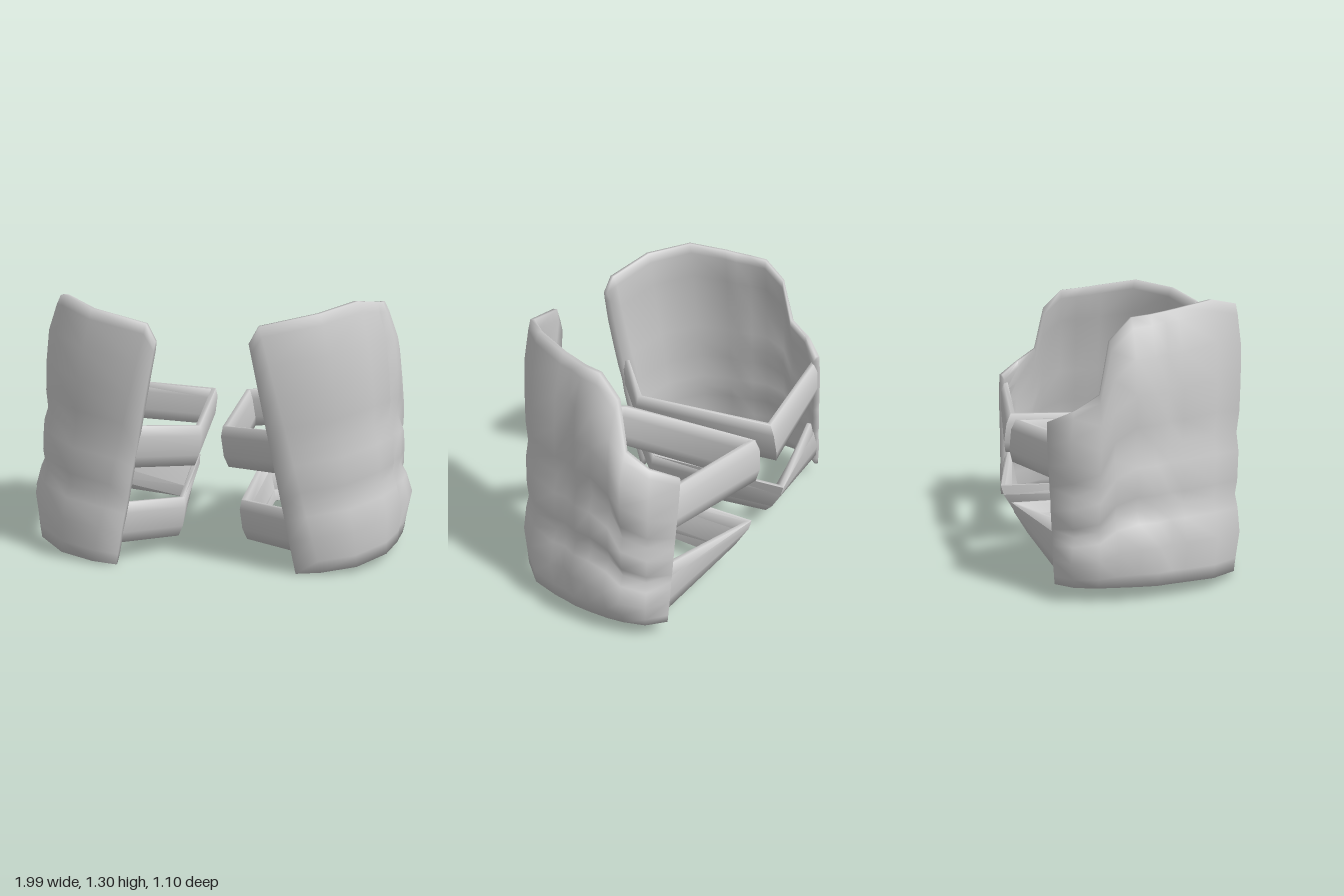
import * as THREE from 'three';
import { toCreasedNormals } from 'three/addons/utils/BufferGeometryUtils.js';

// Horizontal mitred outward direction of a path at point i
function outward(path, i) {
  const normal = (a, b) => new THREE.Vector3(a.z - b.z, 0, b.x - a.x).normalize();
  const before = i > 0 ? normal(path[i - 1], path[i]) : null;
  const after = i < path.length - 1 ? normal(path[i], path[i + 1]) : null;
  const sum = (before || after).clone().add(after || before).normalize();
  return sum.divideScalar(Math.max(0.6, sum.dot(before || after)));
}

// Joins closed cross-sections into a solid with capped ends; side = -1 mirrors it
function loft(rings, side, crease) {
  const n = rings[0].length, last = (rings.length - 1) * n, index = [];
  const quad = (a, b, c, d) => side > 0
    ? index.push(a, b, c, a, c, d) : index.push(a, c, b, a, d, c);
  for (let i = 0; i < rings.length - 1; i++)
    for (let j = 0; j < n; j++) {
      const k = (j + 1) % n;
      quad(i * n + j, (i + 1) * n + j, (i + 1) * n + k, i * n + k);
    }
  for (let j = 0; j < n / 2 - 1; j++) {
    quad(j, j + 1, n - 2 - j, n - 1 - j);
    quad(last + n - 1 - j, last + n - 2 - j, last + j + 1, last + j);
  }
  const g = new THREE.BufferGeometry();
  const pos = rings.flat().flatMap(p => [p.x * side, p.y, p.z]);
  g.setAttribute('position', new THREE.Float32BufferAttribute(pos, 3));
  g.setIndex(index);
  return toCreasedNormals(g, crease);
}

// Guard columns from front edge round to back edge:
// top x, y, z, bottom x, y, z, bulge weight
const COLUMNS = [
  [0.215, 1.13, 0.55, 0.44, 0.0, 0.475, 0.25],
  [0.26, 1.21, 0.535, 0.56, 0.012, 0.475, 0.4],
  [0.53, 1.265, 0.475, 0.73, 0.03, 0.42, 0.5],
  [0.70, 1.30, 0.305, 0.87, 0.05, 0.275, 0.6],
  [0.775, 1.27, 0.12, 0.925, 0.06, 0.12, 0.75],
  [0.79, 1.26, 0.06, 0.935, 0.06, 0.06, 0.3],
  [0.81, 1.25, -0.01, 0.95, 0.06, -0.01, 0.9],
  [0.82, 1.24, -0.10, 0.96, 0.065, -0.10, 1],
  [0.835, 1.14, -0.20, 0.965, 0.07, -0.20, 1],
  [0.86, 0.91, -0.25, 0.955, 0.07, -0.28, 1],
  [0.84, 0.84, -0.36, 0.925, 0.07, -0.38, 0.9],
  [0.75, 0.78, -0.465, 0.85, 0.07, -0.455, 0.1],
];
// Height fraction and outward bulge of each row
const ROWS = [[0, 0], [0.05, 0.015], [0.15, 0.05], [0.24, 0.03], [0.29, 0.005], [0.34, 0.025],
  [0.45, 0.035], [0.52, 0.015], [0.6, 0.04], [0.72, 0.05], [0.85, 0.05], [0.96, 0.018], [1, 0]];

function guardGeometry(side) {
  const tops = COLUMNS.map(c => new THREE.Vector3(c[0], c[1], c[2]));
  const bottoms = COLUMNS.map(c => new THREE.Vector3(c[3], c[4], c[5]));
  const middles = tops.map((t, i) => t.clone().lerp(bottoms[i], 0.5));
  const rings = COLUMNS.map((c, i) => {
    const out = outward(middles, i);
    const at = (v, offset) => bottoms[i].clone().lerp(tops[i], v).addScaledVector(out, offset);
    const outer = ROWS.map(([v, b]) => at(v, b * c[6]));
    // the wall thins towards its top and bottom rims
    const inner = ROWS.map(([v, b]) =>
      at(v, b * c[6] * 0.4 - (v === 0 || v === 1 ? 0.02 : 0.035))).reverse();
    return [...outer, ...inner];
  });
  return loft(rings, side, 1.7);
}

// Strap paths from the back of the guard round to its front: x, y, z, lean in x, lean in z
const STRAPS = {
  upperStrap: [[0.78, 0.635, -0.44, -0.14, 0], [0.10, 0.575, -0.515, -0.14, 0.12],
    [0.07, 0.56, 0.25, -0.14, 0], [0.33, 0.61, 0.49, -0.14, 0]],
  lowerStrap: [[0.82, 0.235, -0.43, -0.14, 0.15], [0.21, 0.18, -0.485, -0.3, -0.6],
    [0.16, 0.175, 0.215, -0.14, 0], [0.42, 0.215, 0.465, -0.14, 0]],
};
// Strap section: outward offset and height, slightly convex on the outside
const SECTION = [[0, -0.105], [0.015, -0.05], [0.015, 0.05], [0, 0.1],
  [-0.022, 0.1], [-0.03, 0.05], [-0.03, -0.05], [-0.022, -0.105]];

function strapGeometry(points, side) {
  const path = points.map(p => new THREE.Vector3(p[0], p[1], p[2]));
  const rings = path.map((p, i) => {
    const out = outward(path, i);
    const lean = new THREE.Vector3(points[i][3], 1, points[i][4]);
    return SECTION.map(([o, h]) => p.clone().addScaledVector(out, o).addScaledVector(lean, h));
  });
  return loft(rings, side, 1.5);
}

export function createModel() {
  const model = new THREE.Group();
  const grey = new THREE.MeshStandardMaterial({ color: 0xcccccc });
  grey.name = 'lightGrey';
  for (const side of [1, -1]) {
    const half = new THREE.Group();
    half.name = side > 0 ? 'leftGuard' : 'rightGuard';
    const add = (name, geometry) => {
      const mesh = new THREE.Mesh(geometry, grey);
      mesh.name = name;
      half.add(mesh);
    };
    add('curvedPlate', guardGeometry(side));
    for (const name in STRAPS) add(name, strapGeometry(STRAPS[name], side));
    model.add(half);
  }
  return model;
}
